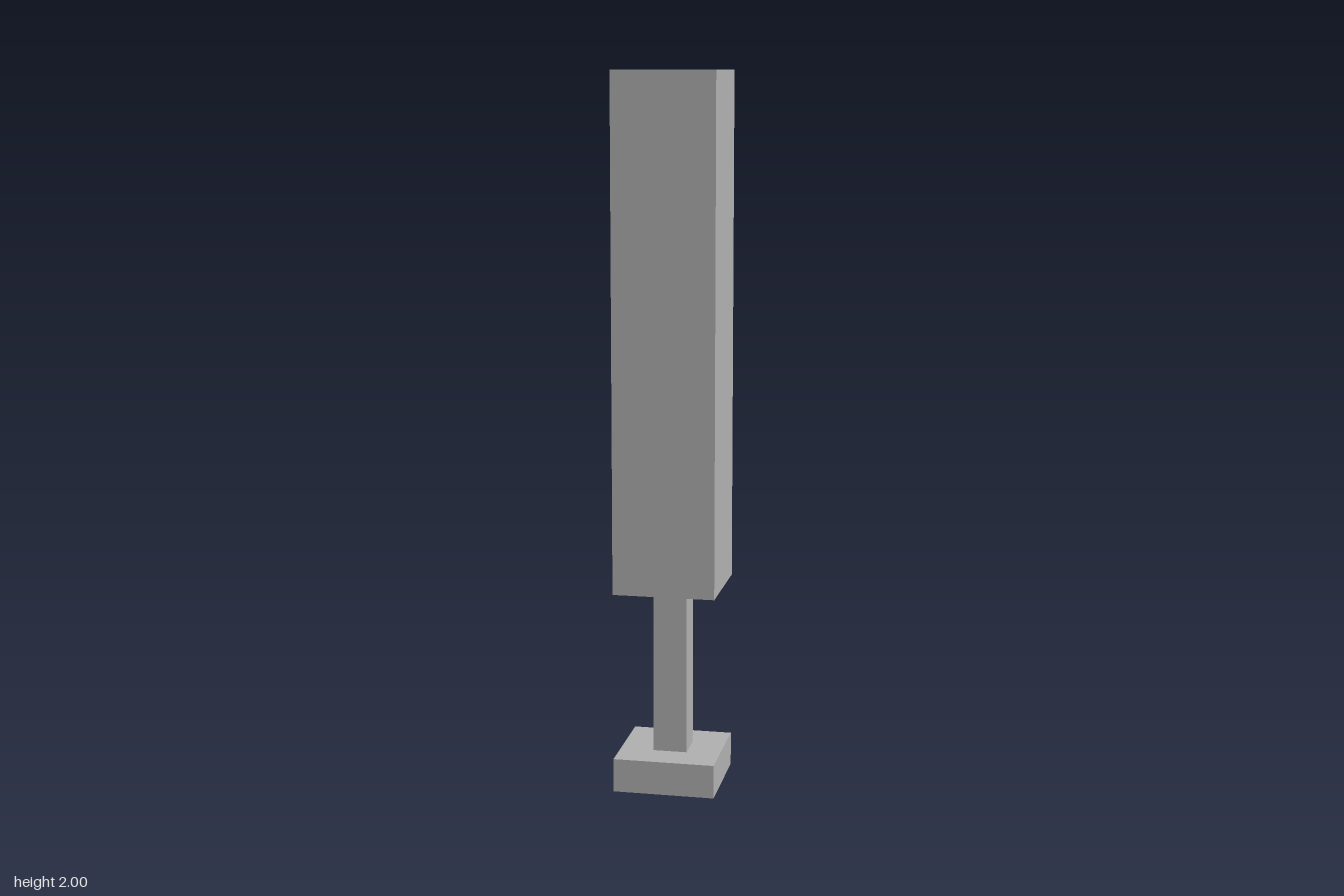
import * as THREE from 'three';

// The whole post is laid out on a grid of 21 equal units in height
const UNIT = 2 / 21;

export function createModel() {
  const group = new THREE.Group();
  group.name = 'post';

  const grey = new THREE.MeshStandardMaterial({ color: 0xb0b0b0 });
  grey.name = 'grey';

  // Square block standing on height `bottom`, all in grid units
  const addBlock = (name, width, height, bottom) => {
    const geometry = new THREE.BoxGeometry(width * UNIT, height * UNIT, width * UNIT);
    const mesh = new THREE.Mesh(geometry, grey);
    mesh.name = name;
    mesh.position.y = (bottom + height / 2) * UNIT;
    group.add(mesh);
  };

  addBlock('base', 3, 1, 0);
  addBlock('stem', 1, 5, 1);
  addBlock('column', 3, 15, 6);

  return group;
}
